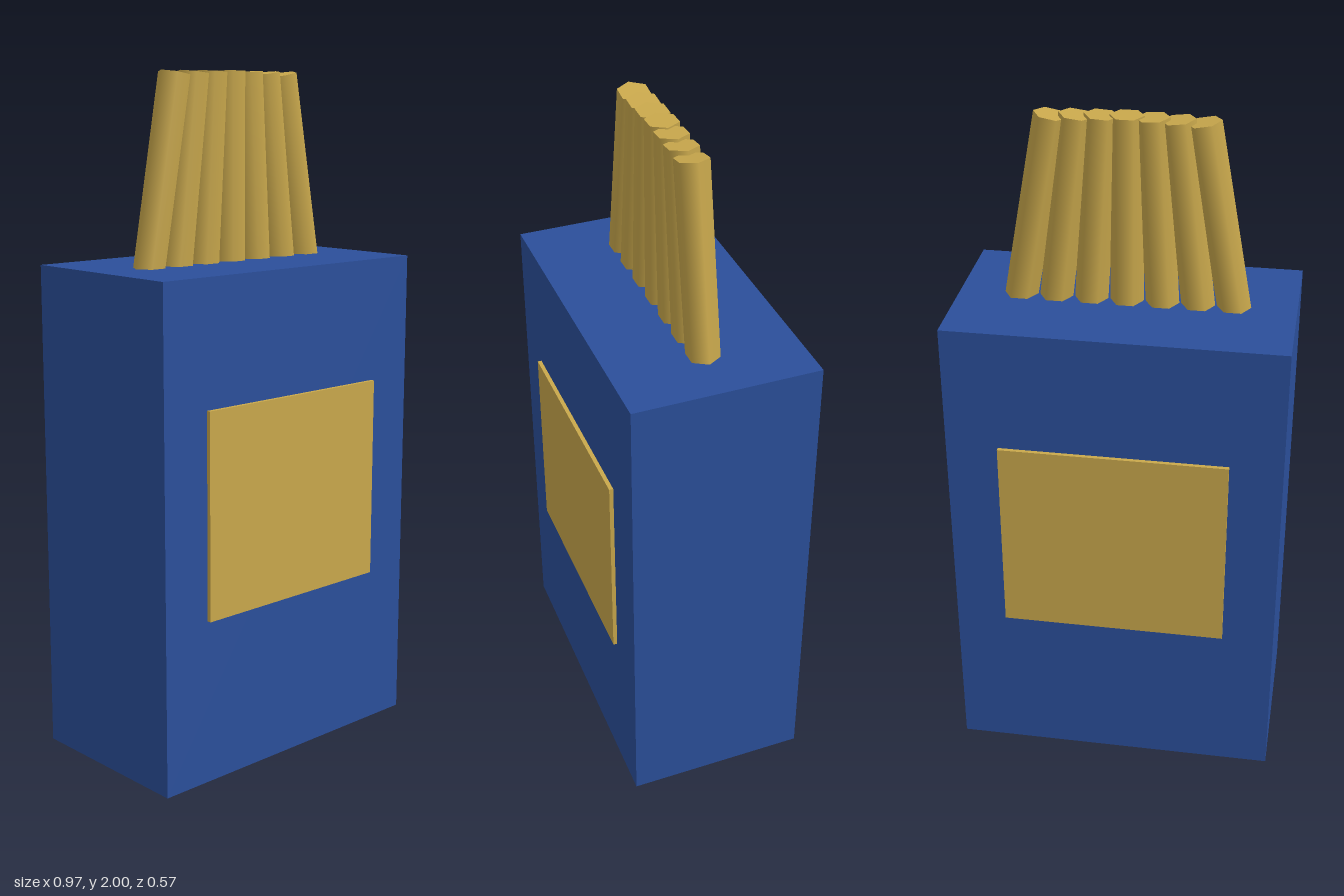
import * as THREE from 'three';

export function createModel() {
  const group = new THREE.Group();
  const blue = new THREE.MeshStandardMaterial({ color: 0x2b4f9b });
  blue.name = 'blue card';
  const gold = new THREE.MeshStandardMaterial({ color: 0xc9a84c });
  gold.name = 'gold';

  const add = (name, geometry, material, x, y, z) => {
    const mesh = new THREE.Mesh(geometry, material);
    mesh.name = name;
    mesh.position.set(x, y, z);
    group.add(mesh);
    return mesh;
  };

  // Carton
  const height = 1.455, depth = 0.542;
  add('carton', new THREE.BoxGeometry(0.97, height, depth), blue, 0, height / 2, 0);

  // Raised label on the front and back
  const label = new THREE.BoxGeometry(0.664, 0.604, 0.024);
  for (const side of [1, -1]) {
    add(side > 0 ? 'frontLabel' : 'backLabel', label, gold, 0, 0.788, side * depth / 2);
  }

  // Seven hexagonal sticks leaning in towards the middle
  const radius = 0.048, length = 0.6;
  const stick = new THREE.CylinderGeometry(radius, radius, length, 6);
  stick.rotateY(Math.PI / 6);
  stick.translate(0, -length / 2, 0); // pivot at the top end
  for (let i = -3; i <= 3; i++) {
    const tilt = i * 0.06;
    const top = 2 - radius * Math.sin(Math.abs(tilt));
    add('stick' + (i + 4), stick, gold, i * 0.0695, top, 0).rotation.z = tilt;
  }
  return group;
}
